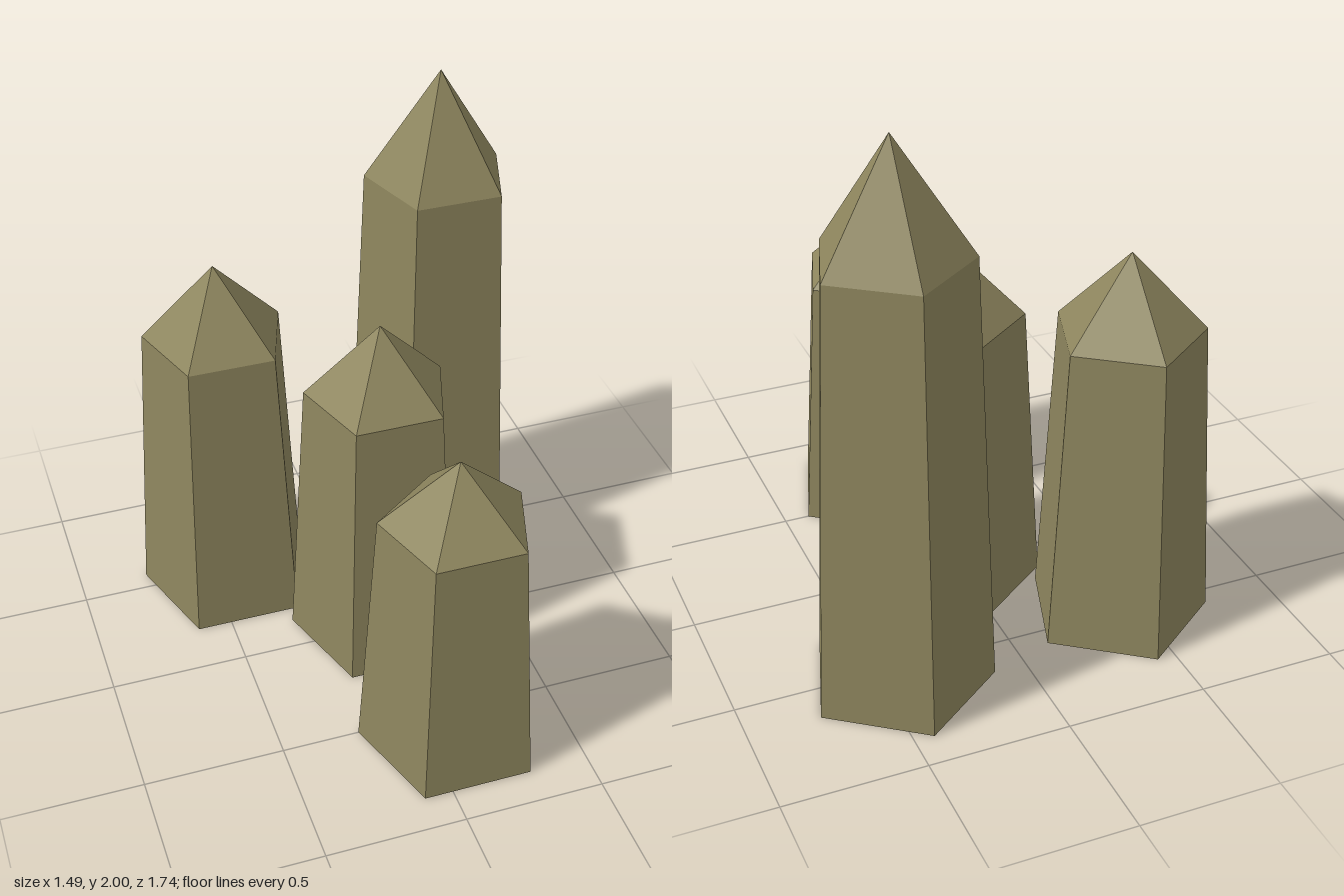
import * as THREE from 'three';

const stone = new THREE.MeshStandardMaterial({ color: 0x8e865e, flatShading: true });
stone.name = 'olive stone';

// Tapered five-sided crystal with a pointed cap; one corner faces the back
function crystal(name, x, z, height) {
  const profile = [[0, 0], [0.331, 0], [0.267, height * 0.794], [0, height]]
    .map(([r, y]) => new THREE.Vector2(r, y));
  const mesh = new THREE.Mesh(new THREE.LatheGeometry(profile, 5, Math.PI), stone);
  mesh.name = name;
  mesh.position.set(x, 0, z);
  return mesh;
}

export function createModel() {
  const group = new THREE.Group();
  group.name = 'crystalCluster';
  group.add(
    crystal('tallCrystal', 0.43, -0.544, 2),
    crystal('backRightCrystal', -0.433, -0.469, 1.42),
    crystal('middleCrystal', 0.038, -0.037, 1.343),
    crystal('frontCrystal', 0.093, 0.601, 1.215),
  );
  return group;
}
